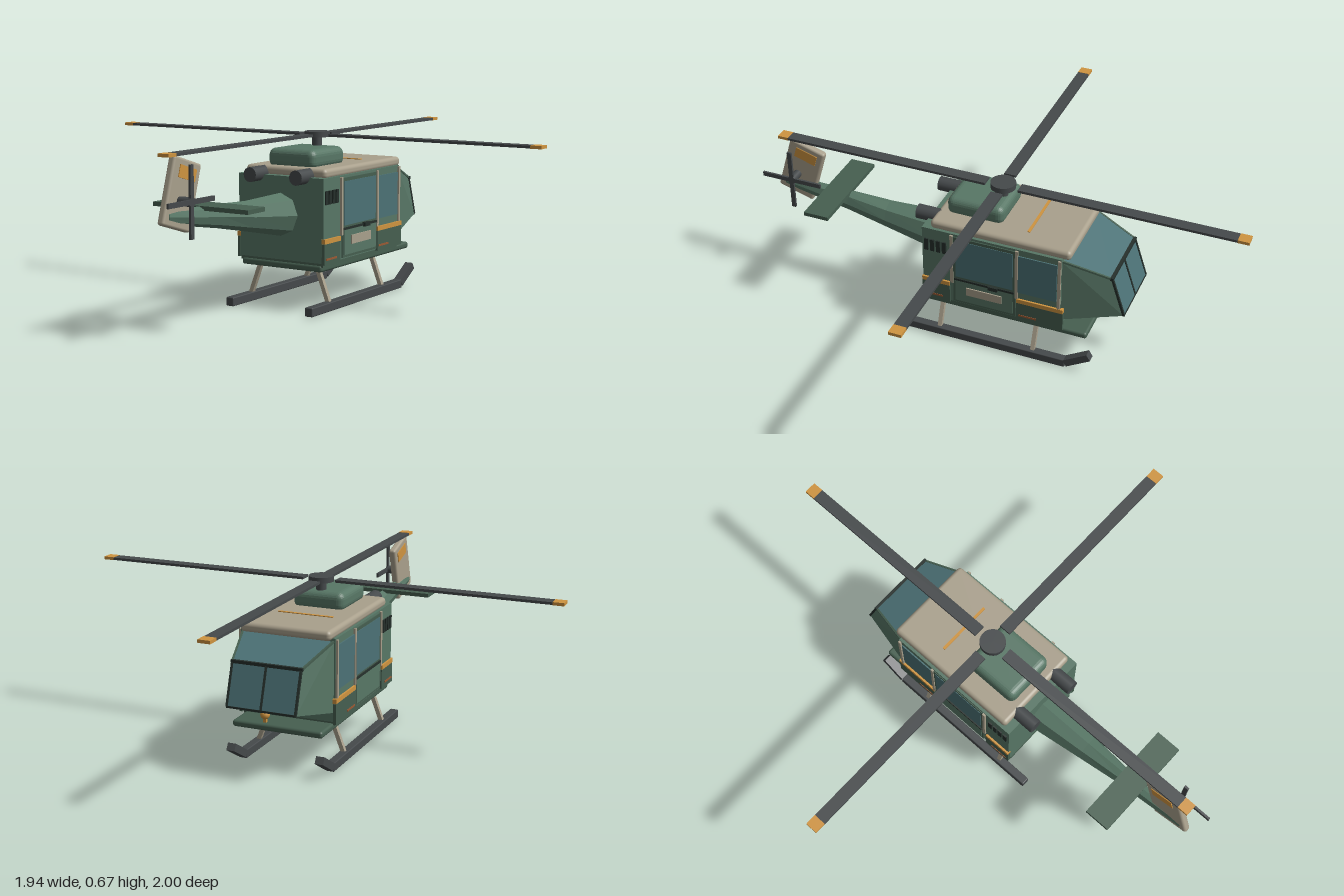
import * as THREE from 'three';
import { RoundedBoxGeometry } from 'three/addons/geometries/RoundedBoxGeometry.js';
import { ConvexGeometry } from 'three/addons/geometries/ConvexGeometry.js';

const mat = (color, extra = {}) => {
  const m = new THREE.MeshStandardMaterial(extra);
  m.color.set(color);
  return m;
};
const M = {
  green: mat(0x587766, { flatShading: true }),
  sill: mat(0x465f50),
  tan: mat(0xa9a08c),
  glass: mat(0x4c7276, { side: THREE.DoubleSide }),
  dark: mat(0x45494b),
  black: mat(0x26302c),
  orange: mat(0xcf9440),
  rust: mat(0x9a5a34),
};

export function createModel() {
  const root = new THREE.Group();
  const add = (name, geo, m, x = 0, y = 0, z = 0, parent = root) => {
    const mesh = new THREE.Mesh(geo, m);
    mesh.name = name;
    mesh.position.set(x, y, z);
    parent.add(mesh);
    return mesh;
  };
  // box given by its ranges along each axis
  const box = (name, m, [x0, x1], [y0, y1], [z0, z1], r = 0, parent = root) => {
    const s = [x1 - x0, y1 - y0, z1 - z0];
    const geo = r ? new RoundedBoxGeometry(...s, 3, r) : new THREE.BoxGeometry(...s);
    return add(name, geo, m, (x0 + x1) / 2, (y0 + y1) / 2, (z0 + z1) / 2, parent);
  };
  // square bar between two points
  const bar = (name, m, a, b, w, h = w) => {
    const p = new THREE.Vector3(...a), q = new THREE.Vector3(...b);
    const mesh = add(name, new THREE.BoxGeometry(w, h, p.distanceTo(q)), m);
    mesh.position.copy(p).add(q).multiplyScalar(0.5);
    mesh.lookAt(q);
    return mesh;
  };
  const quad = (name, m, pts) => {
    const g = new THREE.BufferGeometry();
    g.setAttribute('position', new THREE.Float32BufferAttribute(pts.flat(), 3));
    g.setIndex([0, 1, 2, 0, 2, 3]);
    g.computeVertexNormals();
    return add(name, g, m);
  };

  // cabin, roof and belly plate
  box('cabin', M.green, [-0.195, 0.195], [0.19, 0.515], [-0.345, 0.23]);
  box('roof', M.tan, [-0.185, 0.185], [0.508, 0.547], [-0.375, 0.2], 0.016);
  box('roofStripe', M.orange, [-0.115, 0.115], [0.54, 0.55], [-0.186, -0.175]);
  box('engineCover', M.green, [-0.108, 0.108], [0.535, 0.612], [-0.07, 0.165], 0.028);
  box('bellyPlate', M.sill, [-0.185, 0.185], [0.155, 0.182], [-0.45, 0.23], 0.01);
  box('floor', M.sill, [-0.19, 0.19], [0.175, 0.195], [-0.34, 0.225]);

  // cabin sides
  for (const s of [-1, 1]) {
    const side = new THREE.Group();
    side.name = s > 0 ? 'leftSide' : 'rightSide';
    root.add(side);
    const panel = (name, m, out, y, z) =>
      box(name, m, [s * 0.195 - out, s * 0.195 + out], y, z, 0, side);
    panel('rearSill', M.sill, 0.006, [0.185, 0.265], [0.115, 0.232]);
    panel('frontSill', M.sill, 0.006, [0.185, 0.265], [-0.357, -0.165]);
    panel('rearStripe', M.orange, 0.008, [0.266, 0.284], [0.115, 0.232]);
    panel('frontStripe', M.orange, 0.008, [0.266, 0.284], [-0.357, -0.165]);
    panel('rearMark', M.rust, 0.008, [0.202, 0.21], [0.145, 0.22]);
    panel('frontMark', M.rust, 0.008, [0.202, 0.21], [-0.25, -0.175]);
    panel('doorFrame', M.sill, 0.004, [0.195, 0.505], [-0.16, 0.1]);
    panel('doorLower', M.green, 0.007, [0.205, 0.302], [-0.15, 0.09]);
    panel('doorWindow', M.glass, 0.006, [0.32, 0.492], [-0.15, 0.088]);
    panel('frontWindow', M.glass, 0.005, [0.315, 0.488], [-0.328, -0.17]);
    panel('doorRail', M.black, 0.009, [0.303, 0.312], [-0.155, 0.095]);
    for (const z of [0.105, -0.165, -0.338])
      panel('post', M.tan, 0.008, [0.285, 0.51], [z - 0.006, z + 0.006]);
    for (let i = 0; i < 4; i++) {
      const z = 0.128 + i * 0.025;
      panel('vent', M.black, 0.006, [0.415, 0.467], [z, z + 0.017]);
    }
    // exhaust
    const ex = add('exhaust', new THREE.CylinderGeometry(0.029, 0.029, 0.15, 16), M.dark, s * 0.105, 0.518, 0.21);
    ex.rotation.x = Math.PI / 2;
  }
  box('doorPlate', M.tan, [0.198, 0.207], [0.243, 0.278], [-0.105, 0.042]);
  box('doorHandle', M.black, [0.198, 0.213], [0.3, 0.316], [-0.09, -0.05]);

  // nose: rows of [half width, y, z]
  const nose = [[0.19, 0.505, -0.34], [0.14, 0.44, -0.525], [0.14, 0.28, -0.58], [0.188, 0.225, -0.34]];
  const P = (i, s, t = 1) => new THREE.Vector3(nose[i][0] * s * t, nose[i][1], nose[i][2]);
  add('nose', new ConvexGeometry(nose.flatMap((_, i) => [P(i, -1), P(i, 1)])), M.green);
  quad('topGlass', M.glass, [
    [-0.18, 0.505, -0.35], [0.18, 0.505, -0.35], [0.136, 0.444, -0.525], [-0.136, 0.444, -0.525]]);
  quad('windscreen', M.glass, [
    [-0.136, 0.437, -0.53], [0.136, 0.437, -0.53], [0.136, 0.285, -0.582], [-0.136, 0.285, -0.582]]);
  bar('browFrame', M.black, [-0.145, 0.441, -0.527], [0.145, 0.441, -0.527], 0.012);
  bar('chinFrame', M.black, [-0.14, 0.281, -0.58], [0.14, 0.281, -0.58], 0.008);
  for (const x of [-0.138, 0, 0.138])
    bar('windscreenBar', M.black, [x, 0.44, -0.528], [x, 0.281, -0.581], 0.009);
  for (const s of [-1, 1])
    bar('topFrame', M.sill, [s * 0.186, 0.503, -0.345], [s * 0.14, 0.441, -0.526], 0.008);
  add('noseLamp', new THREE.SphereGeometry(0.018, 14, 10), M.orange, 0, 0.258, -0.545);
  box('lampStem', M.orange, [-0.006, 0.006], [0.228, 0.265], [-0.55, -0.538]);

  // tail boom lofted from elliptical rings: [z, centre y, half width, half height]
  const rings = [[0.22, 0.365, 0.08, 0.085], [0.465, 0.388, 0.052, 0.057], [0.64, 0.41, 0.034, 0.044],
    [0.785, 0.425, 0.026, 0.034], [0.93, 0.443, 0.018, 0.026]];
  const n = 8, pos = [], idx = [];
  rings.forEach(([z, cy, w, h], r) => {
    for (let i = 0; i < n; i++) {
      const a = (i / n) * Math.PI * 2;
      pos.push(Math.cos(a) * w, cy + Math.sin(a) * h, z);
      const j = (i + 1) % n, b = r * n;
      if (r < rings.length - 1) idx.push(b + i, b + j, b + n + j, b + i, b + n + j, b + n + i);
      else if (i > 1) idx.push(b, b + i - 1, b + i);
    }
  });
  const boom = new THREE.BufferGeometry();
  boom.setAttribute('position', new THREE.Float32BufferAttribute(pos, 3));
  boom.setIndex(idx);
  boom.computeVertexNormals();
  add('tailBoom', boom, M.green);

  // tail surfaces
  box('stabilizer', M.sill, [-0.21, 0.21], [0.443, 0.459], [0.635, 0.74]);
  const fin = add('tailFin', new RoundedBoxGeometry(0.03, 0.247, 0.158, 2, 0.01), M.tan, 0, 0.513, 0.852);
  fin.rotation.x = -0.3;
  add('finBand', new THREE.BoxGeometry(0.036, 0.045, 0.095), M.orange, 0, 0.076, -0.004, fin);

  // tail rotor
  const shaft = add('tailRotorShaft', new THREE.CylinderGeometry(0.017, 0.017, 0.06, 14), M.dark, 0.04, 0.492, 0.87);
  shaft.rotation.z = Math.PI / 2;
  box('tailRotorBlade', M.dark, [0.061, 0.07], [0.362, 0.622], [0.861, 0.879]);
  box('tailRotorBlade', M.dark, [0.061, 0.07], [0.483, 0.501], [0.74, 1.0]);

  // main rotor
  const rotor = new THREE.Group();
  rotor.name = 'mainRotor';
  rotor.position.set(0, 0.655, -0.03);
  root.add(rotor);
  add('mast', new THREE.CylinderGeometry(0.02, 0.02, 0.07, 16), M.dark, 0, -0.03, 0, rotor);
  add('hub', new THREE.CylinderGeometry(0.05, 0.05, 0.022, 24), M.dark, 0, 0.002, 0, rotor);
  for (let i = 0; i < 4; i++) {
    const arm = new THREE.Group();
    arm.name = 'rotorBlade';
    arm.rotation.y = (i * Math.PI) / 2;
    rotor.add(arm);
    box('blade', M.dark, [0.068, 0.926], [-0.005, 0.005], [-0.024, 0.024], 0, arm);
    box('bladeTip', M.orange, [0.926, 0.97], [-0.006, 0.006], [-0.024, 0.024], 0, arm);
  }

  // landing skids
  for (const s of [-1, 1]) {
    const x = s * 0.183;
    box('skid', M.dark, [x - 0.017, x + 0.017], [0, 0.035], [-0.37, 0.315], 0.004);
    bar('skidTip', M.dark, [x, 0.02, -0.37], [x, 0.078, -0.467], 0.034, 0.03);
    for (const z of [0.17, -0.23])
      bar('skidStrut', M.tan, [s * 0.13, 0.165, z], [x, 0.025, z], 0.017);
  }
  return root;
}
